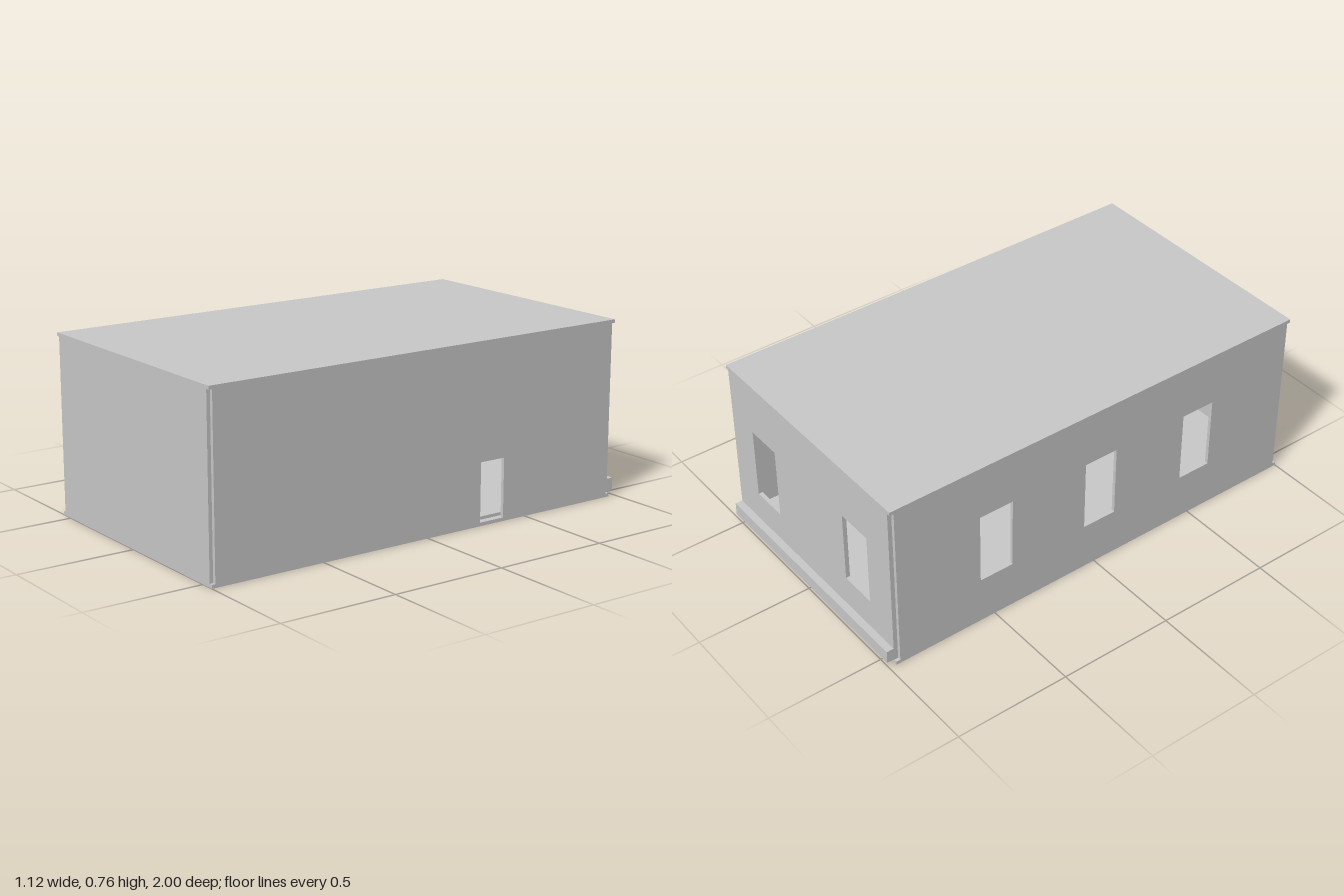
import * as THREE from 'three';

export function createModel() {
  const model = new THREE.Group();
  const grey = new THREE.MeshStandardMaterial({ color: 0xc8c8c8 });
  grey.name = 'plain grey';

  const X = 0.56, TOP = 0.757, FRONT = 1, BACK = -0.968; // outer limits
  const T = 0.015; // panel thickness
  const backInner = -0.95;

  function add(name, geometry) {
    const mesh = new THREE.Mesh(geometry, grey);
    mesh.name = name;
    model.add(mesh);
    return mesh;
  }

  // box given by its minimum and maximum corners
  function block(name, x0, x1, y0, y1, z0, z1) {
    const g = new THREE.BoxGeometry(x1 - x0, y1 - y0, z1 - z0);
    g.translate((x0 + x1) / 2, (y0 + y1) / 2, (z0 + z1) / 2);
    return add(name, g);
  }

  function rectangle(target, u0, u1, v0, v1) {
    target.moveTo(u0, v0);
    target.lineTo(u1, v0);
    target.lineTo(u1, v1);
    target.lineTo(u0, v1);
    target.closePath();
    return target;
  }

  // upright panel in the u-y plane with window openings [u0, u1]
  function panel(u0, u1, depth, windows, door) {
    const shape = new THREE.Shape();
    shape.moveTo(u0, T);
    if (door) {
      shape.lineTo(door[0], T);
      shape.lineTo(door[0], door[2]);
      shape.lineTo(door[1], door[2]);
      shape.lineTo(door[1], T);
    }
    shape.lineTo(u1, T);
    shape.lineTo(u1, TOP - T);
    shape.lineTo(u0, TOP - T);
    shape.closePath();
    for (const [a, b] of windows) shape.holes.push(rectangle(new THREE.Path(), a, b, 0.208, 0.523));
    return new THREE.ExtrudeGeometry(shape, { depth, bevelEnabled: false });
  }

  // floor and roof slabs
  block('baseSlab', -X, X, 0, T, BACK, FRONT);
  block('roofSlab', -X, X, TOP - T, TOP, BACK, FRONT);
  block('innerFloor', -0.53, 0.53, T, 0.028, -0.93, 0.965);

  // front and back walls, leaving open notches at the corners
  block('frontWall', -X + T, X - T, T, TOP - T, FRONT - T, FRONT);
  const back = panel(-X + T, X - T, backInner - BACK, [[-0.397, -0.235], [0.235, 0.397]]);
  back.translate(0, 0, BACK);
  add('backWall', back);

  // side walls: the panel's u axis becomes -z
  const sideWindows = [-0.49, 0.02, 0.52].map((z) => [-z - 0.077, -z + 0.077]);
  const sides = [
    ['leftWall', X - T, [], [0.265, 0.385, 0.265]],
    ['rightWall', -X, sideWindows, null],
  ];
  for (const [name, x, windows, door] of sides) {
    const g = panel(-(FRONT - T), -backInner, T, windows, door);
    g.rotateY(Math.PI / 2);
    g.translate(x, 0, 0);
    add(name, g);
  }

  // ledge along the foot of the back wall
  block('backLedge', -X + T, X - T, 0.017, 0.073, -1, BACK);

  // short flight of steps inside, rising to the back
  for (let i = 0; i < 3; i++) {
    const z = -0.355 - i * 0.032;
    block('innerStep', -0.15, 0.2, 0.028 + i * 0.042, 0.07 + i * 0.042, z - 0.05, z);
  }

  return model;
}
